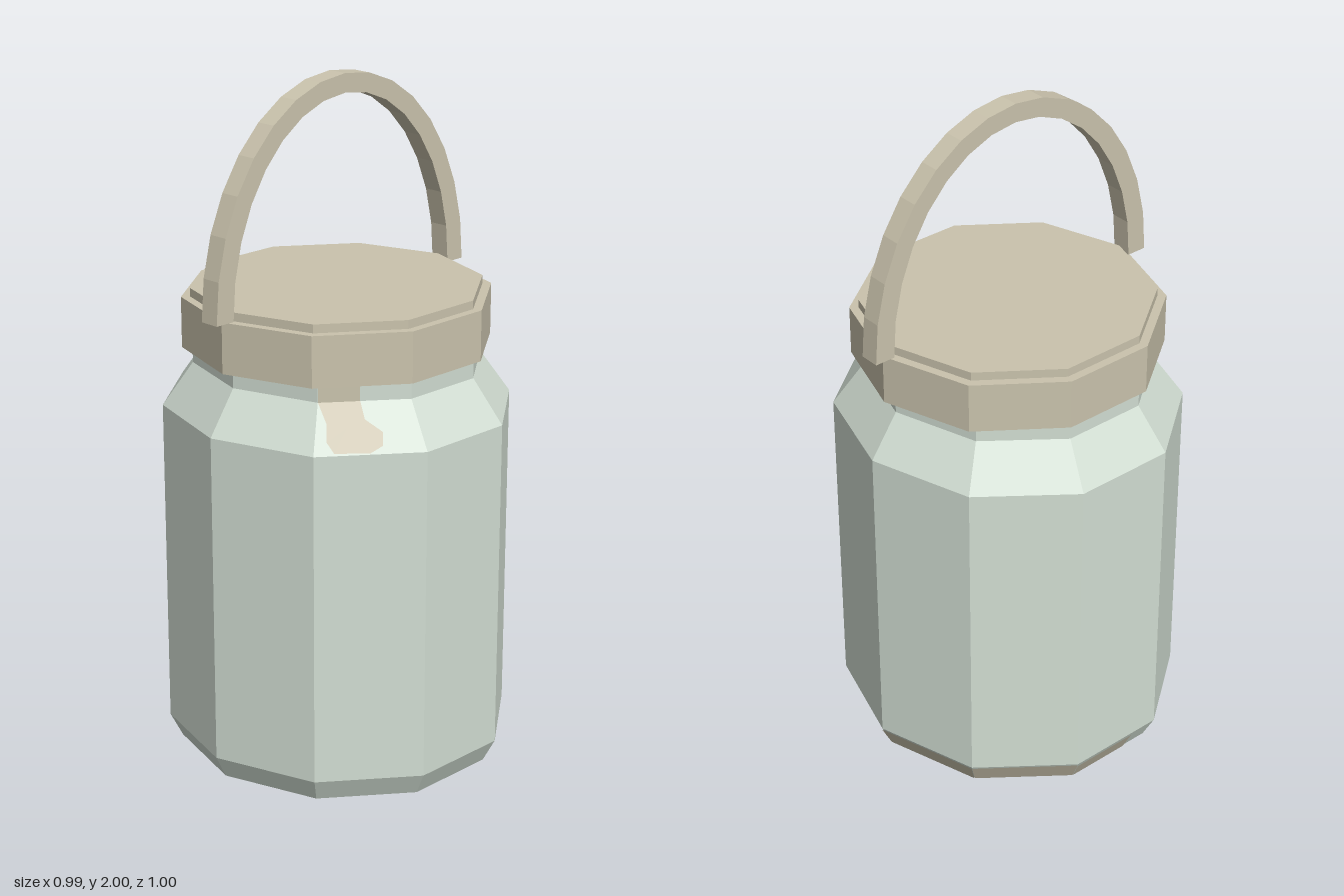
import * as THREE from 'three';

const SIDES = 10;
const STEP = (Math.PI * 2) / SIDES;
const DEPTH = 1.056; // the jar is slightly deeper than a regular decagon

// Faceted ten-sided solid from a [radius, y] profile, listed bottom to top
function faceted(profile, depth = 1) {
  const pts = profile.map(([r, y]) => new THREE.Vector2(r, y));
  const geo = new THREE.LatheGeometry(pts, SIDES, Math.PI / 10).toNonIndexed();
  geo.scale(1, 1, depth);
  geo.computeVertexNormals();
  return geo;
}

// Thin patch on one jar facet; outline is in facet units (u right, v up)
function facetPatch(corner, [r0, y0], [r1, y1], outline) {
  const at = (i, r, y) =>
    new THREE.Vector3(r * Math.cos(i * STEP), y, r * Math.sin(i * STEP) * DEPTH);
  const a = at(corner, r0, y0), b = at(corner - 1, r0, y0);
  const c = at(corner, r1, y1), d = at(corner - 1, r1, y1);
  const normal = b.clone().sub(a).cross(c.clone().sub(a)).normalize();
  const pts = outline.map(([u, v]) =>
    a.clone().lerp(b, u).lerp(c.clone().lerp(d, u), v).addScaledVector(normal, 0.003));
  const tris = [];
  for (let i = 1; i < pts.length - 1; i++) tris.push(pts[0], pts[i], pts[i + 1]);
  const geo = new THREE.BufferGeometry().setFromPoints(tris);
  geo.computeVertexNormals();
  return geo;
}

export function createModel() {
  const model = new THREE.Group();
  const glass = new THREE.MeshStandardMaterial({ color: 0xd2ded3 });
  glass.name = 'pale green glass';
  const tan = new THREE.MeshStandardMaterial({ color: 0xcac3ad });
  tan.name = 'tan';
  const add = (name, geo, mat) => {
    const mesh = new THREE.Mesh(geo, mat);
    mesh.name = name;
    model.add(mesh);
  };

  // Jar
  const foot = [0.46, 0], wall = [0.495, 0.07], shoulder = [0.495, 1.05];
  const neck = [0.408, 1.175], rim = [0.408, 1.235];
  add('jarBody', faceted([foot, wall, shoulder, neck, rim], DEPTH), glass);
  add('jarBase', faceted([[0, 0], foot], DEPTH), tan);

  // Lid with a small raised top
  add('lidRing', faceted([[0, 1.225], [0.447, 1.225], [0.447, 1.373], [0.4, 1.373]]), tan);
  add('lidTop', faceted([[0.421, 1.37], [0.421, 1.398], [0, 1.398]]), tan);

  // Carrying handle: half-elliptical flat band
  const SEG = 16;
  const arc = (rx, ry) => Array.from({ length: SEG + 1 }, (_, i) => {
    const t = (i / SEG) * Math.PI;
    return new THREE.Vector2(rx * Math.cos(t), 1.377 + ry * Math.sin(t));
  });
  const band = new THREE.Shape([...arc(0.492, 0.623), ...arc(0.43, 0.568).reverse()]);
  const handle = new THREE.ExtrudeGeometry(band, { depth: 0.06, bevelEnabled: false });
  handle.translate(0, 0, -0.03);
  add('handle', handle, tan);

  // Tan patch on the front shoulder and neck
  add('shoulderPatch', facetPatch(4, shoulder, neck, [
    [0.3, 0.5], [0, 1], [0.1, 0.6], [0.11, 0.25], [0.18, 0.04], [0.5, 0.02],
    [0.62, 0.15], [0.64, 0.4], [0.48, 0.65], [0.45, 1], [0, 1]]), tan);
  add('neckPatch', facetPatch(4, neck, rim, [[0, 0], [0.45, 0], [0.45, 1], [0, 1]]), tan);

  // Tan stretch around the foot bevel: [corner, u from, u to, height]
  for (const [corner, u0, u1, v] of [[1, 0.1, 1, 0.35], [0, 0, 1, 0.98], [-1, 0, 1, 0.98], [-2, 0, 0.7, 0.9]]) {
    add('footPatch', facetPatch(corner, foot, wall, [[u0, 0.02], [u1, 0.02], [u1, v], [u0, v]]), tan);
  }
  return model;
}
